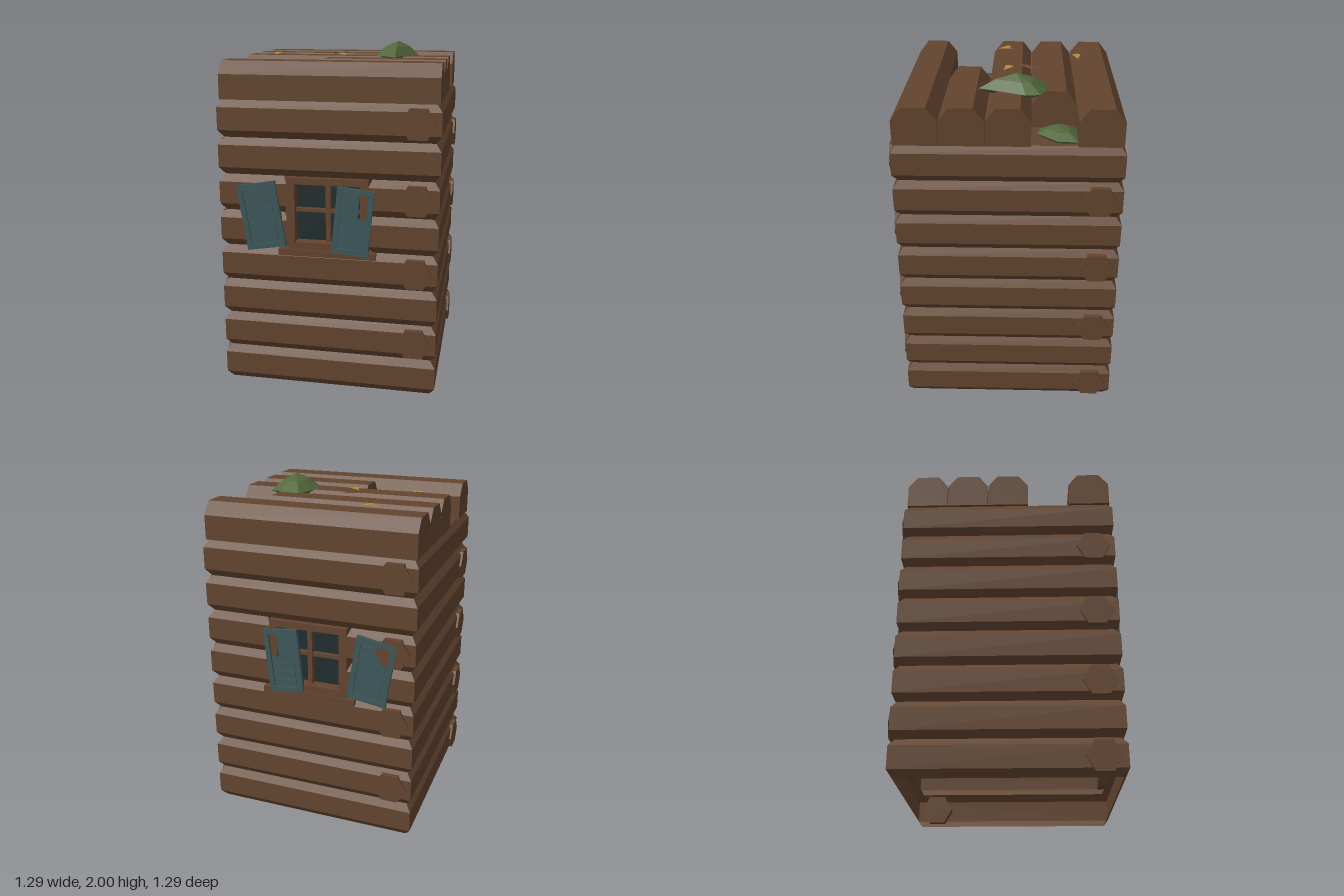
import * as THREE from 'three';
import { ConvexGeometry } from 'three/addons/geometries/ConvexGeometry.js';

const mat = (name, color) => {
  const m = new THREE.MeshStandardMaterial({ color, side: THREE.DoubleSide, flatShading: true });
  m.name = name;
  return m;
};

export function createModel() {
  const wood = mat('brown wood', 0x64452f);
  const paint = mat('teal paint', 0x3e585a);
  const glass = mat('dark glass', 0x222d2f);
  const moss = mat('moss green', 0x52673b);
  const gold = mat('yellow leaf', 0xae8a37);

  const root = new THREE.Group();
  root.name = 'logTower';
  const add = (parent, name, geometry, material) => {
    const mesh = new THREE.Mesh(geometry, material);
    mesh.name = name;
    parent.add(mesh);
    return mesh;
  };
  const soup = (corners) => {
    const g = new THREE.BufferGeometry();
    g.setAttribute('position', new THREE.Float32BufferAttribute(corners.flat(), 3));
    g.computeVertexNormals();
    return g;
  };

  // Bevelled face of one log, between two end rules that depend on the depth
  const H = 1.7 / 8;
  const profile = [[0, 0.6], [0.042, 0.63], [H - 0.042, 0.63], [H, 0.6]];
  const logFace = (y, left, right) => {
    const tris = [];
    for (let i = 0; i < 3; i++) {
      const [y0, d0] = profile[i], [y1, d1] = profile[i + 1];
      const a = [left(d0), y + y0, d0], b = [right(d0), y + y0, d0];
      const c = [right(d1), y + y1, d1], d = [left(d1), y + y1, d1];
      tris.push(a, b, c, a, c, d);
    }
    return soup(tris);
  };

  // Four walls of eight courses, with log ends on alternate courses
  const hex = new THREE.CylinderGeometry(0.098, 0.098, 0.08, 6).rotateY(Math.PI / 2).rotateX(Math.PI / 2);
  const minus = (d) => -d, plus = (d) => d;
  const cut = (d) => 0.235 + (0.63 - d) * 0.6;
  ['front', 'left', 'back', 'right'].forEach((side, i) => {
    const wall = new THREE.Group();
    wall.name = side + 'Wall';
    wall.rotation.y = i * Math.PI / 2;
    root.add(wall);
    for (let c = 0; c < 8; c++) {
      const y = c * H;
      if (i % 2 === 0 && (c === 4 || c === 5)) {
        add(wall, 'cutLog', logFace(y, minus, (d) => -cut(d)), wood);
        add(wall, 'cutLog', logFace(y, cut, plus), wood);
      } else add(wall, 'wallLog', logFace(y, minus, plus), wood);
      if (c % 2 !== i % 2) add(wall, 'logEnd', hex, wood).position.set(0.503, y + H / 2, 0.603);
    }
  });

  // Roof deck and five bevelled roof logs, two of them broken short
  add(root, 'roofDeck', new THREE.BoxGeometry(1.2, 0.02, 1.2), wood).position.y = 1.69;
  const roofShape = new THREE.Shape([
    [-0.122, 1.7], [0.122, 1.7], [0.122, 1.84], [0.066, 1.912], [-0.066, 1.912], [-0.122, 1.84],
  ].map(([x, y]) => new THREE.Vector2(x, y)));
  const spans = [[-0.617, 0.617], [-0.617, 0.345], [-0.617, 0.617], [-0.08, 0.617], [-0.617, 0.617]];
  spans.forEach(([x0, x1], i) => {
    const g = new THREE.ExtrudeGeometry(roofShape, { depth: x1 - x0, bevelEnabled: false });
    add(root, 'roofLog', g.rotateY(Math.PI / 2), wood).position.set(x0, 0, (i - 2) * 0.247);
  });

  // Window with crooked shutters; s mirrors it for the back
  const addWindow = (name, s) => {
    const win = new THREE.Group();
    win.name = name;
    win.rotation.y = s > 0 ? 0 : Math.PI;
    root.add(win);
    const box = (parent, part, m, x0, x1, y0, y1, z0, z1) =>
      add(parent, part, new THREE.BoxGeometry(x1 - x0, y1 - y0, z1 - z0), m)
        .position.set(s * (x0 + x1) / 2, (y0 + y1) / 2, (z0 + z1) / 2);

    box(win, 'glass', glass, -0.195, 0.195, 0.89, 1.24, 0.556, 0.564);
    box(win, 'frameSide', wood, -0.235, -0.188, 0.85, 1.275, 0.55, 0.632);
    box(win, 'frameSide', wood, 0.188, 0.235, 0.85, 1.275, 0.55, 0.632);
    box(win, 'frameTop', wood, -0.188, 0.188, 1.235, 1.275, 0.55, 0.632);
    box(win, 'frameBottom', wood, -0.188, 0.188, 0.85, 0.895, 0.55, 0.632);
    box(win, 'mullion', wood, -0.014, 0.014, 0.895, 1.235, 0.56, 0.6);
    box(win, 'crossbar', wood, -0.188, 0.188, 1.068, 1.088, 0.56, 0.595);
    box(win, 'sill', wood, -0.285, 0.28, 0.815, 0.853, 0.59, 0.642);

    const shutter = (part, x, y, tilt, w) => {
      const g = new THREE.Group();
      g.name = part;
      g.position.set(s * x, y, 0.633);
      g.rotation.z = s * tilt;
      win.add(g);
      const e = w / 2, h = 0.1925, r = 0.03;
      for (const k of [-1, 1]) {
        const cx = k * (e - r / 2), cy = k * (h - r / 2);
        box(g, 'stile', paint, cx - r / 2, cx + r / 2, -h, h, -0.012, 0.012);
        box(g, 'rail', paint, -e + r, e - r, cy - r / 2, cy + r / 2, -0.012, 0.012);
      }
      return { g, e, h, r };
    };

    // Whole outer shutter: slats above a square panel
    const a = shutter('outerShutter', -0.383, 1.043, 0.157, 0.23);
    box(a.g, 'backing', paint, -a.e + a.r, a.e - a.r, -a.h + a.r, a.h - a.r, -0.01, 0.002);
    for (let i = 0; i < 3; i++)
      box(a.g, 'slat', paint, -0.075, 0.075, 0.02 + i * 0.05, 0.047 + i * 0.05, 0, 0.009);
    box(a.g, 'panel', paint, -0.075, 0.075, -0.15, -0.025, 0, 0.009);

    // Broken inner shutter: gap at the upper outer side
    const b = shutter('innerShutter', 0.148, 1.032, -0.097, 0.21);
    box(b.g, 'backing', paint, -b.e + b.r, b.e - b.r, -b.h + b.r, 0.02, -0.01, 0.002);
    box(b.g, 'brokenBoard', paint, -b.e + b.r, 0.026, 0.02, b.h - b.r, -0.01, 0.006);
    for (let i = 0; i < 3; i++)
      box(b.g, 'slat', paint, -0.065, 0.065, -0.145 + i * 0.05, -0.118 + i * 0.05, 0, 0.009);
  };
  addWindow('frontWindow', 1);
  addWindow('backWindow', -1);

  // Faceted moss mounds: outline, raised inner ring and peak
  const mound = (outline, peak, low, edge, ringY, top) => {
    const pts = [new THREE.Vector3(peak[0], top, peak[1])];
    for (const [x, z] of outline) {
      const at = (k, y) => new THREE.Vector3(peak[0] + (x - peak[0]) * k, y, peak[1] + (z - peak[1]) * k);
      pts.push(at(1, edge), at(0.55, ringY), at(0.75, low));
    }
    add(root, 'mossMound', new ConvexGeometry(pts), moss);
  };
  mound([[0.22, -0.21], [0.34, -0.2], [0.41, -0.17], [0.42, -0.09], [0.31, 0.17], [0.19, 0.05], [0.165, -0.01], [0.185, -0.12]],
    [0.305, -0.04], 1.89, 1.913, 1.966, 2.0);
  mound([[0.35, -0.275], [0.405, -0.375], [0.6, -0.375], [0.59, -0.26], [0.485, -0.155], [0.41, -0.17]],
    [0.48, -0.27], 1.7, 1.72, 1.75, 1.762);
  mound([[-0.54, 0.23], [-0.47, 0.12], [-0.27, 0.12], [-0.255, 0.23], [-0.425, 0.37], [-0.51, 0.32]],
    [-0.4, 0.24], 1.7, 1.72, 1.75, 1.762);

  // Fallen leaves, each a slightly folded diamond
  const leaves = [
    [gold, [-0.34, -0.405], [-0.29, -0.425], [-0.23, -0.405], [-0.285, -0.37]],
    [gold, [-0.09, -0.015], [-0.025, -0.005], [-0.005, 0.045], [-0.07, 0.03]],
    [gold, [-0.43, 0.09], [-0.47, 0.03], [-0.44, -0.02], [-0.4, 0.03]],
    [wood, [-0.43, -0.08], [-0.385, -0.04], [-0.43, 0.05], [-0.46, 0]],
    [wood, [-0.51, 0.02], [-0.445, -0.005], [-0.37, 0.015], [-0.43, 0.045]],
    [wood, [-0.565, -0.265], [-0.505, -0.29], [-0.455, -0.255], [-0.52, -0.235]],
    [wood, [-0.11, -0.1], [-0.03, -0.165], [-0.035, -0.11], [-0.09, -0.04]],
  ];
  leaves.forEach(([m, ...q], i) => {
    const [a, b, c, d] = q.map(([x, z], k) => [x, 1.916 + (k % 2) * 0.01 + (i === 2 ? 0.002 : 0), z]);
    add(root, 'fallenLeaf', soup([a, d, b, b, d, c]), m);
  });
  return root;
}
